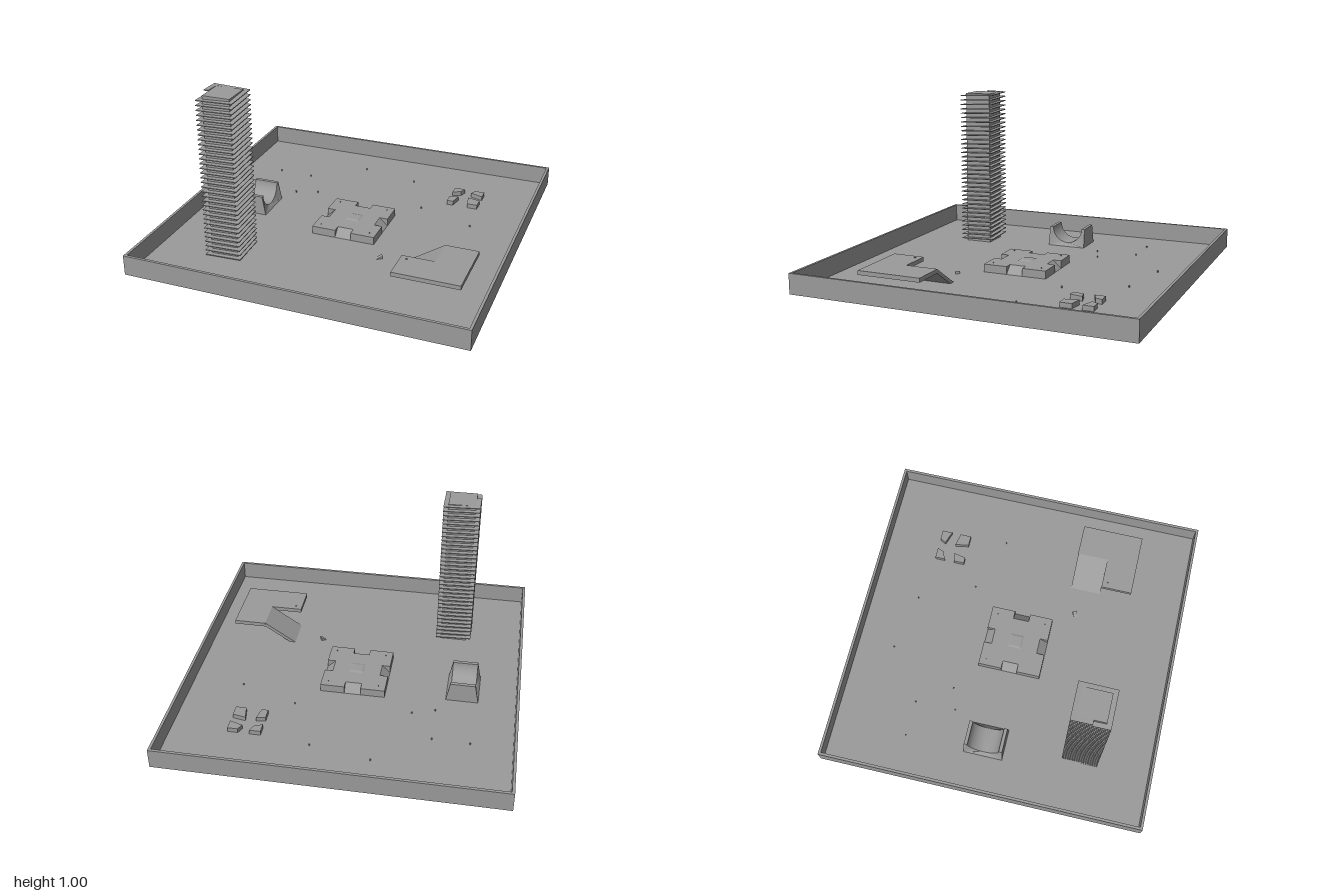
import * as THREE from 'three';
import { toCreasedNormals } from 'three/addons/utils/BufferGeometryUtils.js';

const FLOOR = 0.012;

export function createModel() {
  const model = new THREE.Group();
  const material = new THREE.MeshStandardMaterial({ color: 0x9b9b9b });

  const add = (name, geometry, x = 0, y = 0, z = 0, parent = model) => {
    const mesh = new THREE.Mesh(geometry, material);
    mesh.name = name;
    mesh.position.set(x, y, z);
    parent.add(mesh);
    return mesh;
  };
  const shapeOf = (pts) => new THREE.Shape(pts.map(([a, b]) => new THREE.Vector2(a, b)));
  // Plan outline given as [x, z], raised from y0 to y1
  const slab = (pts, y0, y1) =>
    new THREE.ExtrudeGeometry(shapeOf(pts.map(([x, z]) => [x, -z])), { depth: y1 - y0, bevelEnabled: false })
      .rotateX(-Math.PI / 2).translate(0, y0, 0);

  // Tray: thin floor and four low walls
  add('trayFloor', new THREE.BoxGeometry(2, FLOOR - 0.004, 2), 0, (FLOOR + 0.004) / 2, 0);
  const wall = 0.016;
  for (const s of [-1, 1]) {
    add('trayWallSide', new THREE.BoxGeometry(wall, 0.121, 2), s * (1 - wall / 2), 0.0645, 0);
    add('trayWallEnd', new THREE.BoxGeometry(2 - 2 * wall, 0.121, wall), 0, 0.0645, s * (1 - wall / 2));
  }

  // Tower: square core wrapped by a thin square spiral ledge
  const tower = new THREE.Group();
  tower.name = 'tower';
  tower.position.set(-0.557, 0, 0.555);
  model.add(tower);
  add('towerCore', new THREE.BoxGeometry(0.166, 1.0 - FLOOR, 0.166), 0, (1.0 + FLOOR) / 2, 0, tower);
  add('spiralLedge', spiralLedge(0.082, 0.111, 34, FLOOR + 0.004, 1.0, 0.005), 0, 0, 0, tower);

  // Half-pipe: channel along x, its ends flaring out to a wider base
  const pipe = new THREE.Shape();
  pipe.moveTo(-0.122, FLOOR);
  pipe.lineTo(0.122, FLOOR);
  pipe.lineTo(0.119, 0.131);
  pipe.lineTo(0.098, 0.131);
  pipe.absarc(0, 0.131, 0.098, 0, Math.PI, true);
  pipe.lineTo(-0.119, 0.131);
  pipe.closePath();
  const pipeGeo = new THREE.ExtrudeGeometry(pipe, { depth: 0.195, bevelEnabled: false, curveSegments: 28 })
    .translate(0, 0, -0.0975).rotateY(-Math.PI / 2);
  const pos = pipeGeo.attributes.position;
  for (let i = 0; i < pos.count; i++) {
    if (pos.getY(i) > FLOOR + 0.001) pos.setX(i, pos.getX(i) * 0.77);
  }
  add('halfPipe', toCreasedNormals(pipeGeo, 0.5), -0.6625, 0, -0.034);

  // Central plinth with a ramp set into a notch on each side
  const plinth = new THREE.Group();
  plinth.name = 'plinth';
  plinth.position.set(-0.002, 0, 0);
  model.add(plinth);
  const h = 0.197, n = 0.05, top = 0.06;
  const outline = [];
  for (let k = 0; k < 4; k++) {
    const c = Math.round(Math.cos(k * Math.PI / 2)), s = Math.round(Math.sin(k * Math.PI / 2));
    for (const [x, z] of [[-h, h], [-n, h], [-n, h - n], [n, h - n], [n, h]]) {
      outline.push([x * c + z * s, -x * s + z * c]);
    }
  }
  add('plinthBlock', slab(outline, FLOOR, top), 0, 0, 0, plinth);
  for (let k = 0; k < 4; k++) {
    const ramp = new THREE.ExtrudeGeometry(shapeOf([[h - n, FLOOR], [h, FLOOR], [h - n, top]]),
      { depth: 2 * n, bevelEnabled: false }).translate(0, 0, -n).rotateY(k * Math.PI / 2);
    add('plinthRamp', ramp, 0, 0, 0, plinth);
    const a = Math.PI / 4 + k * Math.PI / 2;
    add('plinthStud', new THREE.CylinderGeometry(0.003, 0.003, 0.008, 8),
      0.22 * Math.cos(a), top + 0.002, 0.22 * Math.sin(a), plinth);
  }
  add('plinthPad', new THREE.CylinderGeometry(0.045, 0.064, 0.005, 4).rotateY(Math.PI / 4).toNonIndexed(),
    0, top + 0.0025, 0, plinth).geometry.computeVertexNormals();

  // Four low blocks around a crossing
  const blocks = [
    [[0.455, -0.652], [0.522, -0.652], [0.507, -0.612], [0.455, -0.588]],
    [[0.59, -0.652], [0.651, -0.652], [0.651, -0.588], [0.572, -0.614]],
    [[0.455, -0.527], [0.51, -0.537], [0.494, -0.46], [0.455, -0.46]],
    [[0.572, -0.545], [0.651, -0.53], [0.651, -0.46], [0.587, -0.46]],
  ];
  for (const pts of blocks) add('lowBlock', slab(pts, FLOOR, 0.04));

  // Raised L-shaped deck with a ramp dropping through its open corner
  add('deck', slab([[0.455, 0.458], [0.65, 0.458], [0.65, 0.264], [0.849, 0.264],
    [0.849, 0.652], [0.455, 0.652]], 0.115, 0.14));
  add('deckRamp', new THREE.ExtrudeGeometry(
    shapeOf([[0.455, 0], [0.475, 0], [0.65, 0.115], [0.65, 0.14], [0.455, 0.012]]),
    { depth: 0.192, bevelEnabled: false }), 0, 0, 0.266);
  add('deckStud', new THREE.CylinderGeometry(0.005, 0.005, 0.006, 8), 0.495, 0.142, 0.492);

  // Small wedge and scattered markers on the floor
  add('wedge', new THREE.ExtrudeGeometry(shapeOf([[-0.018, 0], [0.018, 0], [0.018, 0.018]]),
    { depth: 0.025, bevelEnabled: false }).translate(0, 0, -0.0125).rotateY(0.5), 0.278, FLOOR, 0.33);
  const markers = [[-0.2, -0.755], [0.16, -0.69], [0.32, -0.345], [-0.515, -0.27],
    [-0.74, -0.53], [-0.52, -0.525], [-0.38, -0.315], [0.67, -0.22]];
  for (const [x, z] of markers) {
    add('floorMarker', new THREE.CylinderGeometry(0.004, 0.004, 0.012, 8), x, FLOOR + 0.006, z);
  }
  return model;
}

// Rectangular section swept up a square spiral, mitred at the corners
function spiralLedge(inner, outer, turns, y0, y1, thick) {
  const stations = [[-1, 0.14, 0], [-1, 1, 1 / 8], [1, 1, 3 / 8], [1, -1, 5 / 8], [-1, -1, 7 / 8]];
  const sections = [];
  for (let i = 0; i <= turns * 5; i++) {
    const [sx, sz, f] = stations[i % 5];
    const y = y0 + (y1 - y0) * (Math.floor(i / 5) + f) / turns;
    const at = (r, dy) => [sx * r, y + dy, Math.abs(sz) < 1 ? sz * inner : sz * r];
    sections.push([at(inner, 0), at(outer, 0), at(outer, thick), at(inner, thick)]);
  }
  const v = [];
  const tri = (...pts) => pts.forEach((p) => v.push(...p));
  for (let i = 0; i + 1 < sections.length; i++) {
    const a = sections[i], b = sections[i + 1];
    for (let k = 0; k < 4; k++) {
      const j = (k + 1) % 4;
      tri(a[k], b[k], b[j]);
      tri(a[k], b[j], a[j]);
    }
  }
  const s = sections[0], e = sections[sections.length - 1];
  tri(s[0], s[1], s[2]); tri(s[0], s[2], s[3]);
  tri(e[0], e[2], e[1]); tri(e[0], e[3], e[2]);
  const geometry = new THREE.BufferGeometry();
  geometry.setAttribute('position', new THREE.Float32BufferAttribute(v, 3));
  geometry.computeVertexNormals();
  return geometry;
}
